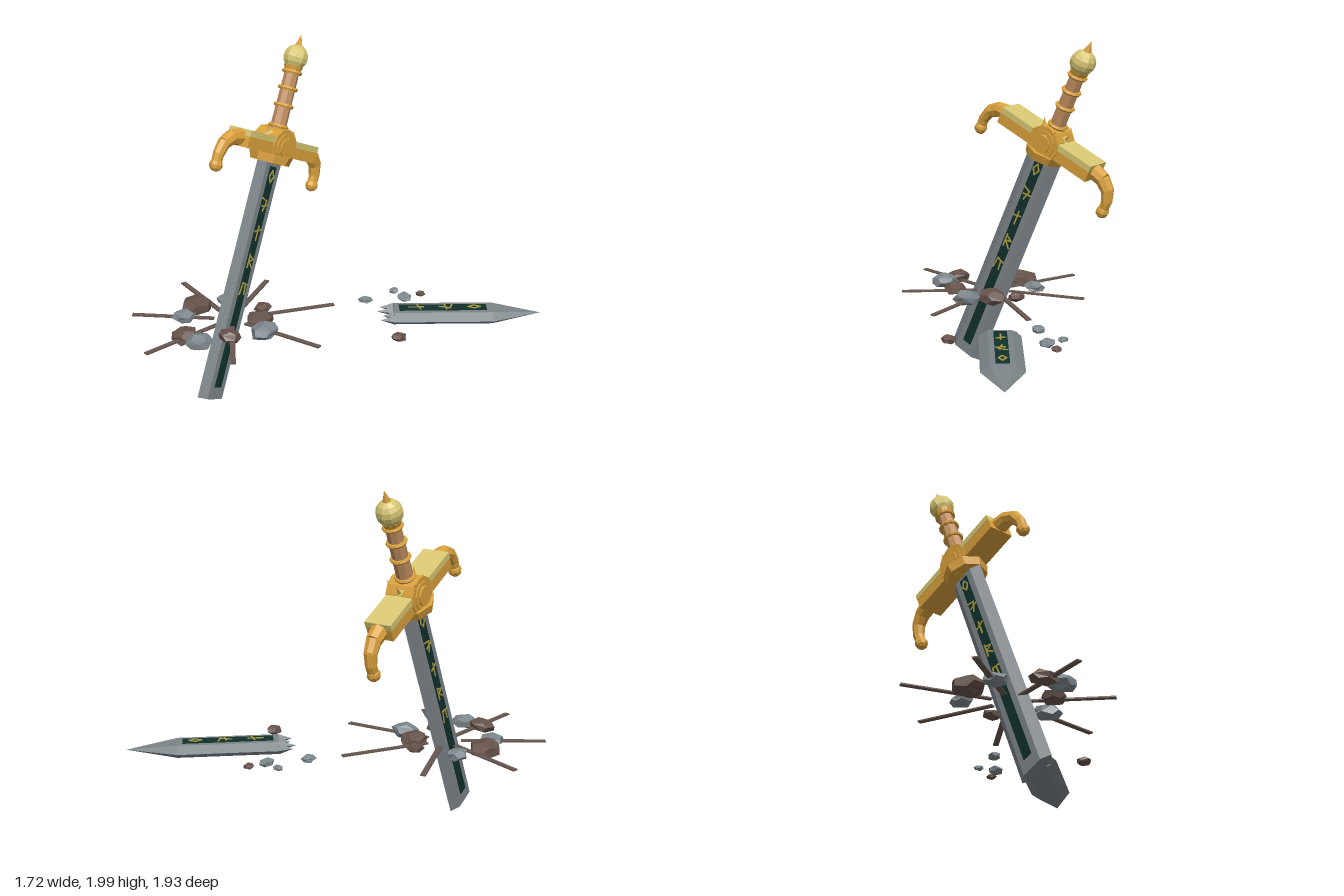
import * as THREE from 'three';
import { ConvexGeometry } from 'three/addons/geometries/ConvexGeometry.js';

const mat = (name, color, extra = {}) =>
  Object.assign(new THREE.MeshStandardMaterial({ color, flatShading: true, ...extra }), { name });

export function createModel() {
  const M = {
    steel: mat('blade steel', 0x7c8488),
    fuller: mat('dark green inlay', 0x10302c),
    mark: mat('inlay marks', 0xa89a3c),
    gold: mat('gold', 0xd9a03c),
    pale: mat('pale gold', 0xd6c673),
    grip: mat('leather grip', 0xc08e60),
    brownRock: mat('brown rock', 0x66524a),
    greyRock: mat('grey rock', 0x7d878c),
    crack: mat('ground crack', 0x675750),
  };
  const root = new THREE.Group();
  root.name = 'brokenSword';

  const add = (parent, name, geo, material, x = 0, y = 0, z = 0) => {
    const m = new THREE.Mesh(geo, material);
    m.name = name;
    m.position.set(x, y, z);
    parent.add(m);
    return m;
  };
  const box = (w, h, d) => new THREE.BoxGeometry(w, h, d);
  const group = (parent, name) => {
    const g = new THREE.Group();
    g.name = name;
    parent.add(g);
    return g;
  };

  // Six-sided blade section, extruded along y
  const W = 0.115, F = 0.065, T = 0.035;
  const section = [[-W, 0], [-F, -T], [F, -T], [W, 0], [F, T], [-F, T]];
  const bladeGeo = (length) => {
    const shape = new THREE.Shape(section.map(([x, y]) => new THREE.Vector2(x, y)));
    return new THREE.ExtrudeGeometry(shape, { depth: length, bevelEnabled: false }).rotateX(-Math.PI / 2);
  };

  // Abstract inlay marks, each a few straight strokes
  const marks = [
    [[-.02, 0, 0, .035], [0, .035, .02, 0], [.02, 0, 0, -.035], [0, -.035, -.02, 0]],
    [[-.03, .035, .015, .02], [.015, .02, -.005, -.04], [-.02, -.01, .03, .0]],
    [[0, -.045, 0, .04], [-.025, .005, .025, .02]],
    [[-.015, -.04, -.015, .04], [-.015, .03, .025, .01], [.025, .01, -.015, -.005], [-.01, -.005, .025, -.04]],
    [[-.025, -.035, -.015, .035], [-.015, .035, .03, .025], [.01, .03, .015, -.03]],
  ];
  const inlay = (parent, y0, y1, width, markYs) => {
    const g = group(parent, 'inlay');
    add(g, 'fuller', box(width, y1 - y0, 0.006), M.fuller, 0, (y0 + y1) / 2, T + 0.001);
    markYs.forEach((y, i) => marks[i].forEach(([ax, ay, bx, by]) => {
      const s = add(g, 'mark', box(0.009, Math.hypot(bx - ax, by - ay) + 0.006, 0.006), M.mark,
        (ax + bx) / 2, y + (ay + by) / 2, T + 0.005);
      s.rotation.z = -Math.atan2(bx - ax, by - ay);
    }));
    return g;
  };

  // ---- Standing sword ----
  const sword = group(root, 'sword');
  sword.position.set(-0.455, 0.055, -0.41);
  sword.rotation.z = -0.419;

  add(sword, 'blade', bladeGeo(1.42), M.steel);
  const ys = [1.313, 1.15, 0.985, 0.82, 0.655];
  inlay(sword, 0.07, 1.37, 0.058, ys);
  inlay(sword, 0.07, 1.37, 0.058, ys).rotation.y = Math.PI;

  // Guard: bar, collar and round bosses
  add(sword, 'guardBar', box(0.66, 0.065, 0.15), M.gold, 0, 1.472);
  add(sword, 'guardTop', box(0.66, 0.035, 0.156), M.pale, 0, 1.521);
  add(sword, 'guardCollar', new THREE.CylinderGeometry(0.128, 0.115, 0.05, 8), M.gold, 0, 1.415);
  add(sword, 'guardCrown', new THREE.CylinderGeometry(0.08, 0.1, 0.03, 8), M.pale, 0, 1.55);
  const boss = [[0.105, 0.165, M.gold], [0.08, 0.18, M.gold], [0.055, 0.2, M.gold]];
  boss.forEach(([r, depth, m]) =>
    add(sword, 'boss', new THREE.CylinderGeometry(r, r, depth, 12).rotateX(Math.PI / 2), m, 0, 1.49));

  // Ring of small spikes on the guard
  for (let i = 0; i < 6; i++) {
    const a = (i + 0.5) * Math.PI / 3;
    const holder = group(sword, 'guardSpike');
    holder.rotation.y = a;
    holder.position.y = 1.565;
    add(holder, 'spike', new THREE.ConeGeometry(0.017, 0.075, 5), M.gold, 0, 0, 0.085).rotation.x = 0.35;
  }

  // Curled guard arms made of tapering links
  const path = [[.32, 1.49, .05], [.39, 1.478, .043], [.443, 1.437, .037], [.466, 1.375, .032], [.466, 1.32, .028]];
  for (const s of [-1, 1]) {
    const arm = group(sword, 'guardArm');
    for (let i = 0; i < path.length - 1; i++) {
      const [ax, ay, ar] = path[i], [bx, by, br] = path[i + 1];
      const link = add(arm, 'armLink', new THREE.CylinderGeometry(br, ar, Math.hypot(bx - ax, by - ay) + 0.012, 8),
        M.gold, s * (ax + bx) / 2, (ay + by) / 2);
      link.rotation.z = -Math.atan2(s * (bx - ax), by - ay);
    }
    add(arm, 'armBall', new THREE.SphereGeometry(0.038, 8, 6), M.gold, s * 0.465, 1.312);
  }

  // Grip, rings, pommel
  add(sword, 'grip', new THREE.CylinderGeometry(0.042, 0.047, 0.4, 8), M.grip, 0, 1.74);
  [1.6, 1.72, 1.82, 1.915].forEach((y) =>
    add(sword, 'gripRing', new THREE.TorusGeometry(0.047, 0.012, 6, 12).rotateX(Math.PI / 2), M.gold, 0, y));
  add(sword, 'pommelNeck', new THREE.CylinderGeometry(0.055, 0.045, 0.03, 10), M.gold, 0, 1.935);
  add(sword, 'pommel', new THREE.SphereGeometry(0.073, 10, 8), M.pale, 0, 2.0);
  add(sword, 'pommelSpike', new THREE.ConeGeometry(0.03, 0.08, 6), M.gold, 0, 2.09);

  // ---- Fallen blade tip, lying flat ----
  const shard = group(root, 'fallenTip');
  const dir = new THREE.Vector3(0.62, 0, 0.78).normalize();
  const up = new THREE.Vector3(0, 1, 0);
  shard.quaternion.setFromRotationMatrix(
    new THREE.Matrix4().makeBasis(new THREE.Vector3().crossVectors(dir, up), dir, up));
  shard.position.set(0.685, 0.495, 0.75);
  add(shard, 'tipBody', bladeGeo(0.56), M.steel, 0, -0.56);
  const tipPts = section.map(([x, z]) => new THREE.Vector3(x, 0, z));
  tipPts.push(new THREE.Vector3(0, 0.28, 0));
  add(shard, 'tipPoint', new ConvexGeometry(tipPts), M.steel);
  inlay(shard, -0.53, -0.03, 0.072, [-0.1, -0.26, -0.43]);
  [[-.085, .08], [-.03, .1], [.03, .07], [.085, .085]].forEach(([x, len]) => {
    const jag = add(shard, 'brokenEdge', new THREE.ConeGeometry(0.03, len, 4), M.steel, x, -0.555 - len / 2);
    jag.rotation.z = Math.PI;
  });

  // ---- Ground cracks radiating from the sword ----
  const cx = -0.25, cz = -0.41;
  [[-.55, -.9], [-.05, -.96], [.28, -.58], [.26, -.06], [-.22, .2], [-.66, -.05], [-.86, -.505]].forEach(([x, z]) => {
    const dx = x - cx, dz = z - cz, len = Math.hypot(dx, dz), r0 = 0.1;
    const k = (len + r0) / 2 / len;
    const c = add(root, 'crack', box(len - r0, 0.008, 0.03), M.crack, cx + dx * k, 0.475, cz + dz * k);
    c.rotation.y = -Math.atan2(dz, dx);
  });

  // ---- Rocks: x, z, radius ----
  const rock = (name, material, x, z, r, i) => {
    const g = new THREE.DodecahedronGeometry(1, 0);
    const p = g.attributes.position, v = new THREE.Vector3();
    for (let k = 0; k < p.count; k++) {
      v.fromBufferAttribute(p, k);
      // uneven bulges that depend only on position, so corners stay joined
      v.multiplyScalar(1 + 0.14 * Math.sin(v.x * 5 + i * 1.7) * Math.cos(v.z * 4 + v.y * 3 + i));
      p.setXYZ(k, v.x, v.y, v.z);
    }
    g.rotateY(i * 1.3).scale(r, r * 0.55, r);
    add(root, name, g, material, x, 0.483, z).rotation.z = 0.12 * Math.sin(i * 2.1);
  };
  [[-.24, -.68, .095], [-.58, -.48, .078], [-.16, -.27, .085], [-.43, -.27, .068], [-.04, -.35, .05],
    [.13, .49, .045], [.675, .27, .03]].forEach(([x, z, r], i) => rock('brownRock', M.brownRock, x, z, r, i));
  [[-.4, -.64, .067], [-.08, -.59, .06], [-.585, -.36, .077], [-.26, -.16, .085],
    [.41, .06, .04], [.58, .22, .045], [.615, .12, .03]].forEach(([x, z, r], i) => rock('greyRock', M.greyRock, x, z, r, i + 7));

  return root;
}
